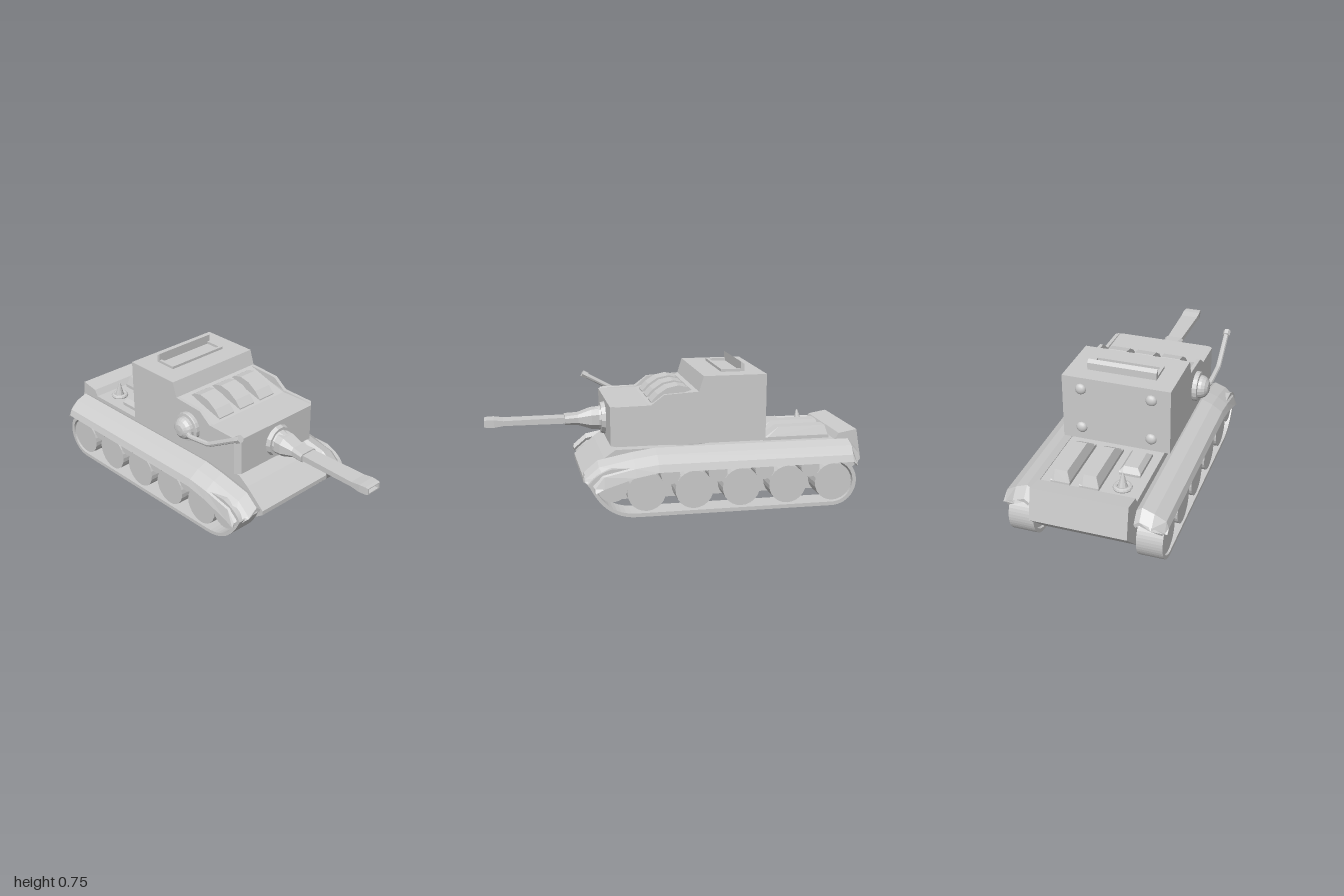
import * as THREE from 'three';

const mat = new THREE.MeshStandardMaterial({ color: 0xcccccc, flatShading: true, side: THREE.DoubleSide });
const smooth = new THREE.MeshStandardMaterial({ color: 0xcccccc });

function add(parent, name, geo, pos = [0, 0, 0], m = mat) {
  const mesh = new THREE.Mesh(geo, m);
  mesh.name = name;
  mesh.position.set(...pos);
  parent.add(mesh);
  return mesh;
}

// Skin a row of cross-sections { w, pts: [[u, v, dw]] } stacked along +z, with both ends capped.
function loft(sections) {
  const rings = sections.map(({ w, pts }) => {
    const r = pts.map(([u, v, d = 0]) => new THREE.Vector3(u, v, w + d));
    return THREE.ShapeUtils.isClockWise(r) ? r.reverse() : r;
  });
  const out = [];
  const tri = (...p) => p.forEach((q) => out.push(q.x, q.y, q.z));
  for (let i = 0; i + 1 < rings.length; i++) {
    const a = rings[i], b = rings[i + 1], n = a.length;
    for (let j = 0; j < n; j++) {
      const k = (j + 1) % n;
      tri(a[j], a[k], b[k]);
      tri(a[j], b[k], b[j]);
    }
  }
  const cap = (r, flip) => THREE.ShapeUtils.triangulateShape(r.map((p) => new THREE.Vector2(p.x, p.y)), [])
    .forEach(([a, b, c]) => (flip ? tri(r[c], r[b], r[a]) : tri(r[a], r[b], r[c])));
  cap(rings[0], true);
  cap(rings[rings.length - 1], false);
  const g = new THREE.BufferGeometry();
  g.setAttribute('position', new THREE.Float32BufferAttribute(out, 3));
  g.computeVertexNormals();
  return g;
}
// Same, but stacked along +x (u becomes -z).
const loftX = (sections) => loft(sections).rotateY(Math.PI / 2);

// Side profile in x/y, extruded from z0 to z1.
function extrude(shape, z0, z1) {
  const s = Array.isArray(shape) ? new THREE.Shape(shape.map((p) => new THREE.Vector2(...p))) : shape;
  return new THREE.ExtrudeGeometry(s, { depth: z1 - z0, bevelEnabled: false, curveSegments: 12 }).translate(0, 0, z0);
}

// Outline of the track loop, inset by o.
function trackOutline(o, Type) {
  const p = new Type();
  p.moveTo(-0.79, 0.002 + o);
  p.lineTo(0.25, 0.002 + o);
  p.bezierCurveTo(0.38, 0.002 + o, 0.45 - o, 0.08 + o * 0.5, 0.495 - o, 0.18);
  p.quadraticCurveTo(0.47 - o, 0.235 - o, 0.38, 0.262 - o);
  p.lineTo(-0.79, 0.262 - o);
  p.absarc(-0.79, 0.132, 0.13 - o, Math.PI / 2, Math.PI * 1.5, false);
  return p;
}

// Track, wheels and fender for one side
function runningGear(s) {
  const g = new THREE.Group();
  g.name = s > 0 ? 'runningGearPositiveZ' : 'runningGearNegativeZ';
  const band = trackOutline(0, THREE.Shape);
  band.holes.push(trackOutline(0.02, THREE.Path));
  add(g, 'track', extrude(band, -0.066, 0.066), [0, 0, s * 0.329]);

  const wheel = (name, x, y, r, w) =>
    add(g, name, new THREE.CylinderGeometry(r, r, w, 24).rotateX(Math.PI / 2), [x, y, s * 0.329]);
  for (let i = 0; i < 5; i++) {
    const x = -0.795 + i * 0.249;
    wheel('roadWheel', x, 0.13, 0.1, 0.116);
    if (i < 4) wheel('returnRoller', x + 0.124, 0.212, 0.05, 0.1);
  }
  wheel('frontWheel', 0.375, 0.165, 0.078, 0.116);

  // x, top height, outer lip height, pull of the outer corner along x
  const stations = [[-0.95, 0.285, 0.22, 0.03], [-0.905, 0.336, 0.24, 0.01], [0.14, 0.336, 0.237, 0],
    [0.26, 0.32, 0.215, 0], [0.44, 0.285, 0.165, -0.02], [0.51, 0.226, 0.142, -0.045]];
  const fender = stations.map(([x, t, b, d]) => ({
    w: x,
    pts: [[0.262, t - 0.02], [0.29, t], [0.35, t - 0.022], [0.405, t - 0.06, d], [0.417, b, d],
      [0.402, b, d], [0.392, t - 0.077, d], [0.345, t - 0.042], [0.29, t - 0.02], [0.27, t - 0.036]]
      .map(([z, y, dx = 0]) => [-s * z, y, dx]),
  }));
  add(g, 'fender', loftX(fender));
  return g;
}

function turret() {
  const g = new THREE.Group();
  g.name = 'turret';
  // Side rims stand a little above the roof between them
  const outline = (front, rim) => [[-0.45, 0.347], [-0.45, 0.7], [-0.115, 0.7], [-0.09, 0.62],
    ...(rim ? [[0.09, 0.61], [0.16, 0.558]] : [[0.06, 0.575], [0.16, 0.548]]),
    [front, rim ? 0.555 : 0.55], [front, 0.347]];
  const half = [[0.285, 0.34, true], [0.266, 0.358, true], [0.264, 0.36, false], [0.257, 0.367, false]];
  const rows = [...half.map(([z, f, r]) => [-z, f, r]), ...half.slice().reverse()];
  add(g, 'turretBody', loft(rows.map(([w, f, r]) => ({ w, pts: outline(f, r) }))));
  add(g, 'turretRing', new THREE.CylinderGeometry(0.22, 0.22, 0.04, 24), [-0.05, 0.335, 0]);

  // Curved ribs on the sloping roof
  const rib = new THREE.Shape([[-0.075, 0.55], [0.145, 0.54], [0.145, 0.558], [0.11, 0.595], [0.06, 0.628],
    [0, 0.64], [-0.045, 0.63], [-0.075, 0.61]].map((p) => new THREE.Vector2(...p)));
  for (const z of [-0.149, -0.002, 0.146]) add(g, 'roofRib', extrude(rib, z - 0.052, z + 0.052));

  // Roof hatch: low frame with a tall rear wall
  for (const s of [-1, 1]) add(g, 'hatchSide', new THREE.BoxGeometry(0.12, 0.016, 0.016), [-0.295, 0.706, s * 0.175]);
  add(g, 'hatchFront', new THREE.BoxGeometry(0.016, 0.016, 0.366), [-0.239, 0.706, 0]);
  add(g, 'hatchRearWall', extrude([[-0.357, 0.695], [-0.34, 0.695], [-0.337, 0.752], [-0.357, 0.738]], -0.183, 0.183));

  // Rear rivets
  for (const y of [0.415, 0.637]) for (const z of [-0.185, 0.185]) {
    add(g, 'rivet', new THREE.SphereGeometry(0.03, 12, 6, 0, Math.PI * 2, 0, Math.PI / 2).rotateZ(Math.PI / 2)
      .scale(0.7, 1, 1), [-0.449, y, z], smooth);
  }
  return g;
}

function mainGun() {
  const g = new THREE.Group();
  g.name = 'mainGun';
  g.position.set(0, 0.442, -0.004);
  add(g, 'mountDisc', new THREE.CylinderGeometry(0.08, 0.088, 0.025, 14).rotateZ(-Math.PI / 2), [0.377, 0, 0]);
  add(g, 'mountCone', new THREE.CylinderGeometry(0.055, 0.067, 0.04, 14).rotateZ(-Math.PI / 2), [0.405, 0, 0]);
  // Chamfered rectangular section
  const sec = (w, hy, hz) => {
    const c = hy * 0.5;
    return { w, pts: [[-hz, -hy + c], [-hz + c, -hy], [hz - c, -hy], [hz, -hy + c],
      [hz, hy - c], [hz - c, hy], [-hz + c, hy], [-hz, hy - c]] };
  };
  add(g, 'collar', loftX([sec(0.4, 0.056, 0.062), sec(0.44, 0.052, 0.062), sec(0.51, 0.028, 0.048), sec(0.58, 0.023, 0.055)]));
  const box = (w, hy, hz) => ({ w, pts: [[-hz, -hy], [hz, -hy], [hz, hy], [-hz, hy]] });
  // The last two sections turn back inside to hollow the muzzle
  add(g, 'barrel', loftX([box(0.57, 0.016, 0.042), box(0.9, 0.013, 0.049), box(0.95, 0.02, 0.05),
    box(0.985, 0.02, 0.046), box(1, 0.017, 0.044), box(1, 0.012, 0.036), box(0.97, 0.012, 0.036)]));
  return g;
}

function sideGun() {
  const g = new THREE.Group();
  g.name = 'sideGun';
  const profile = [[0, 0.078], [0.03, 0.075], [0.05, 0.062], [0.06, 0.045], [0.062, 0.028], [0.078, 0.026], [0.08, 0.02], [0.08, 0]]
    .map(([r, h]) => new THREE.Vector2(r, h)).reverse();
  add(g, 'ballMount', new THREE.LatheGeometry(profile, 20).rotateX(Math.PI / 2), [0.008, 0.493, 0.283]);
  const path = new THREE.CurvePath();
  const pts = [[0.03, 0.487, 0.325], [0.08, 0.48, 0.345], [0.23, 0.503, 0.352], [0.425, 0.61, 0.344]]
    .map((p) => new THREE.Vector3(...p));
  for (let i = 0; i < 3; i++) path.add(new THREE.LineCurve3(pts[i], pts[i + 1]));
  add(g, 'sideBarrel', new THREE.TubeGeometry(path, 24, 0.014, 8));
  const tip = add(g, 'sideMuzzle', new THREE.CylinderGeometry(0.02, 0.02, 0.032, 6), [0.432, 0.614, 0.344]);
  tip.quaternion.setFromUnitVectors(new THREE.Vector3(0, 1, 0), pts[3].clone().sub(pts[2]).normalize());
  return g;
}

function rearDeck() {
  const g = new THREE.Group();
  g.name = 'rearDeck';
  // Box with sloped ends and sloped sides
  const vent = (name, x0, x1, y, slope, z, h) => {
    const row = (w, top, k) => ({ w, pts: [[x0, 0.31], [x1, 0.31], [x1, 0.335], [x1 - slope * k, top], [x0 + 0.02 * k, top], [x0, 0.335]] });
    add(g, name, loft([row(z - h, 0.34, 0.3), row(z - h * 0.65, y, 1), row(z + h * 0.65, y, 1), row(z + h, 0.34, 0.3)]));
  };
  vent('longVent', -0.83, -0.465, 0.39, 0.085, -0.152, 0.05);
  vent('longVent', -0.83, -0.465, 0.39, 0.085, -0.004, 0.05);
  vent('smallVent', -0.665, -0.465, 0.365, 0.04, 0.145, 0.055);
  // Cap with a leaning spike
  add(g, 'capRing', new THREE.TorusGeometry(0.036, 0.013, 8, 16).rotateX(Math.PI / 2), [-0.765, 0.328, 0.145]);
  add(g, 'capSpike', new THREE.CylinderGeometry(0.005, 0.03, 0.09, 10), [-0.765, 0.36, 0.145]).rotation.z = -0.1;
  return g;
}

export function createModel() {
  const model = new THREE.Group();
  model.name = 'tank';
  add(model, 'hull', extrude([[-0.84, 0.056], [-1, 0.205], [-0.97, 0.373], [-0.87, 0.356], [-0.85, 0.322], [0.34, 0.322],
    [0.4, 0.28], [0.51, 0.184], [0.51, 0.16], [0.36, 0.056]], -0.246, 0.246));
  model.add(runningGear(1), runningGear(-1), turret(), mainGun(), sideGun(), rearDeck());
  return model;
}
